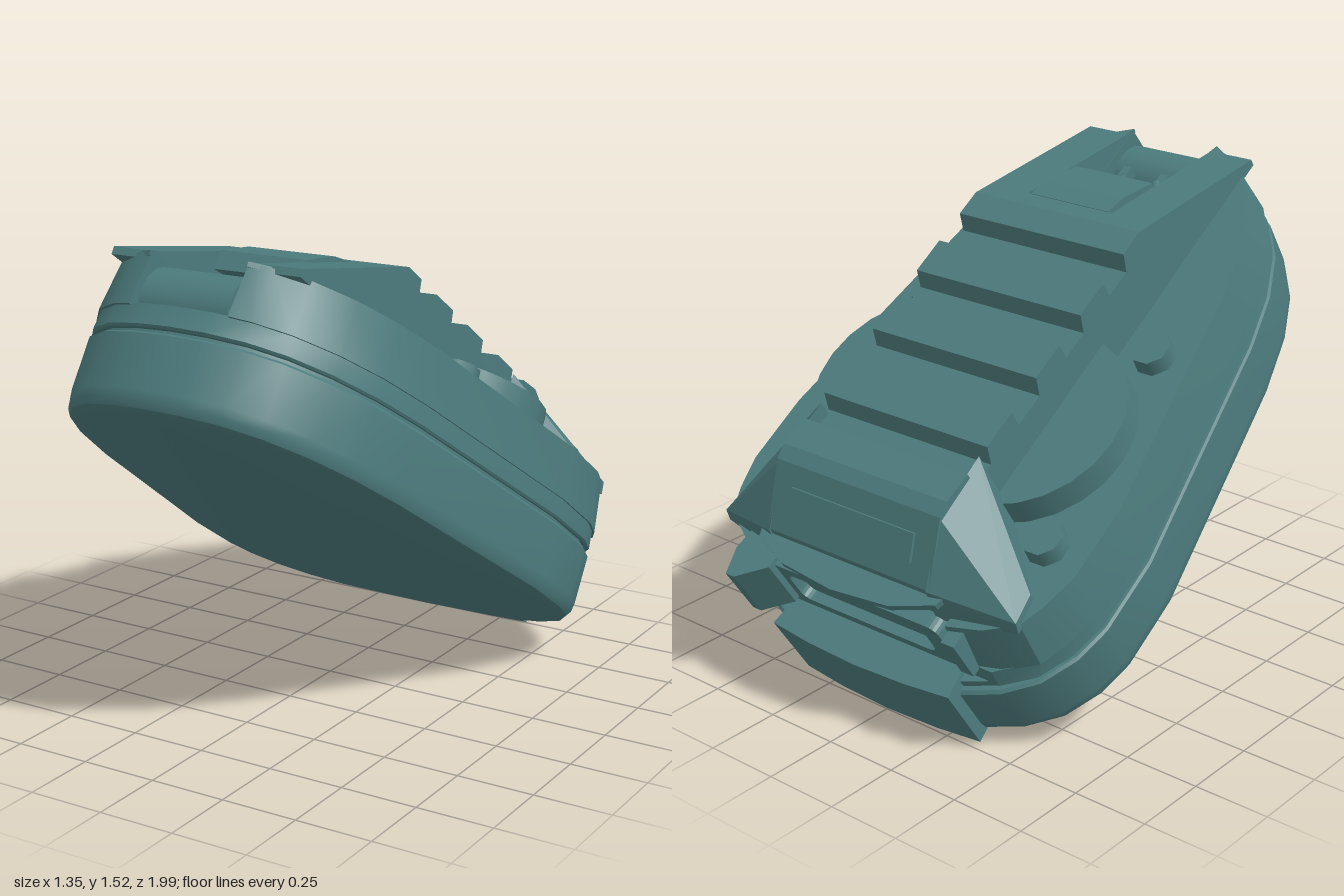
import * as THREE from 'three';
import { toCreasedNormals, mergeVertices } from 'three/addons/utils/BufferGeometryUtils.js';
import { ConvexGeometry } from 'three/addons/geometries/ConvexGeometry.js';

const TILT = 0.5795;   // the device leans back, front end raised
const MID = 0.42;      // middle of its length, used for tapering

// Right half of the plan outline, front to rear: [x, z]
const HALF = [[0, 1.475], [0.12, 1.465], [0.24, 1.43], [0.34, 1.36], [0.43, 1.24], [0.5, 1.08], [0.55, 0.88],
  [0.675, 0.05], [0.675, -0.2], [0.645, -0.32], [0.58, -0.43], [0.48, -0.51], [0.36, -0.56], [0, -0.59]];

const mirrorX = (pts) => [...pts, ...pts.slice().reverse().filter(p => p[0] !== 0).map(([x, z]) => [-x, z])];

// Stacked rings of one outline; levels are [height, scale]
function loft(outline, levels) {
  const n = outline.length, pos = [], idx = [];
  for (const [h, s] of levels)
    for (const [x, z] of outline) pos.push(x * s, h, MID + (z - MID) * s);
  for (let l = 0; l < levels.length - 1; l++)
    for (let i = 0; i < n; i++) {
      const a = l * n + i, b = l * n + (i + 1) % n;
      idx.push(a, b, b + n, a, b + n, a + n);
    }
  const top = (levels.length - 1) * n;
  for (let i = 1; i < n - 1; i++) idx.push(0, i + 1, i, top, top + i, top + i + 1);
  const g = new THREE.BufferGeometry();
  g.setAttribute('position', new THREE.Float32BufferAttribute(pos, 3));
  g.setIndex(idx);
  return toCreasedNormals(g, 0.6);
}

// Plan outline [x, z] raised from h0 to h1, narrowing to the given scale
function slab(pts, h0, h1, taper = 1) {
  const shape = new THREE.Shape(pts.map(([x, z]) => new THREE.Vector2(x, -z)));
  const g = new THREE.ExtrudeGeometry(shape, { depth: h1 - h0, bevelEnabled: false });
  g.rotateX(-Math.PI / 2).translate(0, h0, 0);
  const p = g.attributes.position;
  for (let i = 0; i < p.count; i++) {
    const s = 1 + (taper - 1) * (p.getY(i) - h0) / (h1 - h0);
    p.setX(i, p.getX(i) * s);
    p.setZ(i, MID + (p.getZ(i) - MID) * s);
  }
  return toCreasedNormals(g, 0.6);
}

// Side profile [z, height] spanning x0 to x1
function profile(pts, x0, x1) {
  const shape = new THREE.Shape(pts.map(([z, h]) => new THREE.Vector2(z, h)));
  const g = new THREE.ExtrudeGeometry(shape, { depth: x1 - x0, bevelEnabled: false });
  return g.rotateY(-Math.PI / 2).translate(x1, 0, 0);
}

function roundedRect(path, w, h, r) {
  path.moveTo(-w + r, -h);
  path.lineTo(w - r, -h); path.quadraticCurveTo(w, -h, w, -h + r);
  path.lineTo(w, h - r); path.quadraticCurveTo(w, h, w - r, h);
  path.lineTo(-w + r, h); path.quadraticCurveTo(-w, h, -w, h - r);
  path.lineTo(-w, -h + r); path.quadraticCurveTo(-w, -h, -w + r, -h);
  return path;
}

export function createModel() {
  const teal = new THREE.MeshStandardMaterial({ color: 0x4c7a7c });
  teal.name = 'teal';
  const model = new THREE.Group();
  model.name = 'device';
  const body = new THREE.Group();
  body.name = 'tiltedBody';
  body.rotation.x = -TILT;
  model.add(body);
  const add = (name, geo, x = 0, y = 0, z = 0) => {
    const m = new THREE.Mesh(geo, teal);
    m.name = name;
    m.position.set(x, y, z);
    body.add(m);
    return m;
  };
  const box = (name, w, h, d, x, y, z) => add(name, new THREE.BoxGeometry(w, h, d), x, y, z);

  // Lower shell with a rounded base, and the seam above it
  const outline = mirrorX(HALF);
  add('lowerShell', loft(outline, [[0.397, 0.955], [0.405, 0.98], [0.425, 0.995], [0.455, 1], [0.622, 1], [0.63, 0.99]]));
  add('seam', loft(outline, [[0.62, 0.975], [0.655, 0.975]]));
  add('upperShellBase', loft(outline.map(([x, z]) => [x, Math.max(z, -0.5)]), [[0.643, 0.99], [0.65, 0.997], [0.715, 0.99]]));

  // Upper shell, notched for the front latch and the rear door
  const upper = [[0.172, 0.92], [0.172, 1.452], ...HALF.slice(2, 10), [0.605, -0.41], [0.5, -0.47], [0.38, -0.5], [0.38, -0.43]];
  add('upperShell', slab(mirrorX(upper), 0.71, 0.885, 0.975).translate(0, 0, 0));

  // Spine with grip grooves; the rear end slopes down
  const top = 1.145, floor = 1.085;
  const spine = [[0.91, 0.87], [0.91, 1.116], [0.845, top]];
  for (const [a, b] of [[0.63, 0.75], [0.38, 0.5], [0.116, 0.25], [-0.12, -0.016]])
    spine.push([b, top], [b - 0.02, floor], [a, floor], [a, top]);
  spine.push([-0.226, 1.152], [-0.273, 1.135], [-0.435, 0.985], [-0.45, 0.87]);
  add('gripSpine', profile(spine.reverse(), -0.33, 0.33));

  // Ramps either side of the latch
  for (const s of [-1, 1]) {
    const x = s * 0.25;
    add('frontRamp', profile([[0.9, 0.87], [1.4, 0.87], [1.4, 0.895], [0.91, 1.116], [0.9, 1.118]], x - 0.08, x + 0.08));
    add('rampTip', new ConvexGeometry([
      [0.17, 0.87, 1.39], [0.33, 0.87, 1.34], [0.17, 0.9, 1.39], [0.33, 0.9, 1.34], [0.17, 0.87, 1.435], [0.17, 0.885, 1.435],
    ].map(([px, py, pz]) => new THREE.Vector3(s * px, py, pz))));

    // Rear corner buttresses
    add('rearButtress', new ConvexGeometry([
      [0.32, 1.14, -0.05], [0.32, 1.13, -0.27], [0.32, 0.985, -0.44], [0.58, 0.91, -0.3], [0.595, 0.91, -0.4],
      [0.32, 0.87, -0.05], [0.32, 0.87, -0.46], [0.58, 0.87, -0.3], [0.595, 0.87, -0.41],
    ].map(([px, py, pz]) => new THREE.Vector3(s * px, py, pz))));

    // Raised side lobes and octagonal bolts
    add('sideLobe', new THREE.CylinderGeometry(0.33, 0.33, 0.11, 24), s * 0.24, 0.925, 0.21);
    for (const [bx, bz] of [[0.52, -0.13], [0.455, 0.585]]) {
      const bolt = add('bolt', new THREE.CylinderGeometry(0.066, 0.07, 0.07, 8), s * bx, 0.905, bz);
      bolt.rotation.y = Math.PI / 8;
    }
  }

  // Front latch: plate, floor, horseshoe ring and roller
  add('latchPlate', profile([[0.91, 0.98], [1.13, 0.96], [1.125, 1.025], [0.99, 1.097], [0.91, 1.118]], -0.155, 0.155));
  box('latchFloor', 0.33, 0.2, 0.31, 0, 0.79, 1.055);
  const ring = add('latchRing', new THREE.TorusGeometry(0.085, 0.018, 8, 24, Math.PI * 1.5), 0, 0.895, 1.16);
  ring.rotation.set(-Math.PI / 2, 0, -Math.PI / 4);
  for (const s of [-1, 1]) box('ringFoot', 0.03, 0.04, 0.05, s * 0.075, 0.885, 1.235);
  const roller = add('latchRoller', new THREE.CylinderGeometry(0.113, 0.113, 0.31, 28), 0, 0.757, 1.325);
  roller.rotation.z = Math.PI / 2;

  // Rear cap block and curved visor
  add('rearCap', slab(mirrorX([[0.34, -0.4], [0.365, -0.6], [0.2, -0.615], [0, -0.622]]), 0.412, 0.672));
  add('rearVisor', slab(mirrorX([[0.4, -0.36], [0.36, -0.46], [0.22, -0.515], [0, -0.535]]), 0.943, 0.965));
  const slope = box('rearSlotBar', 0.5, 0.014, 0.09, 0, 1.06, -0.358);
  slope.rotation.x = -0.745;

  // Rear door with a rounded recess, and its side tab
  const door = roundedRect(new THREE.Shape(), 0.35, 0.1, 0.04);
  door.holes.push(roundedRect(new THREE.Path(), 0.28, 0.065, 0.04));
  add('rearDoorFrame', new THREE.ExtrudeGeometry(door, { depth: 0.08, bevelEnabled: false, curveSegments: 5 }), 0, 0.785, -0.5);
  box('rearDoorPanel', 0.62, 0.16, 0.06, 0, 0.785, -0.435);
  add('doorTab', slab([[0.31, -0.4], [0.46, -0.4], [0.47, -0.5], [0.44, -0.592], [0.405, -0.592], [0.31, -0.52]], 0.708, 0.9));
  box('doorHinge', 0.05, 0.16, 0.1, -0.4, 0.785, -0.47);

  return model;
}
